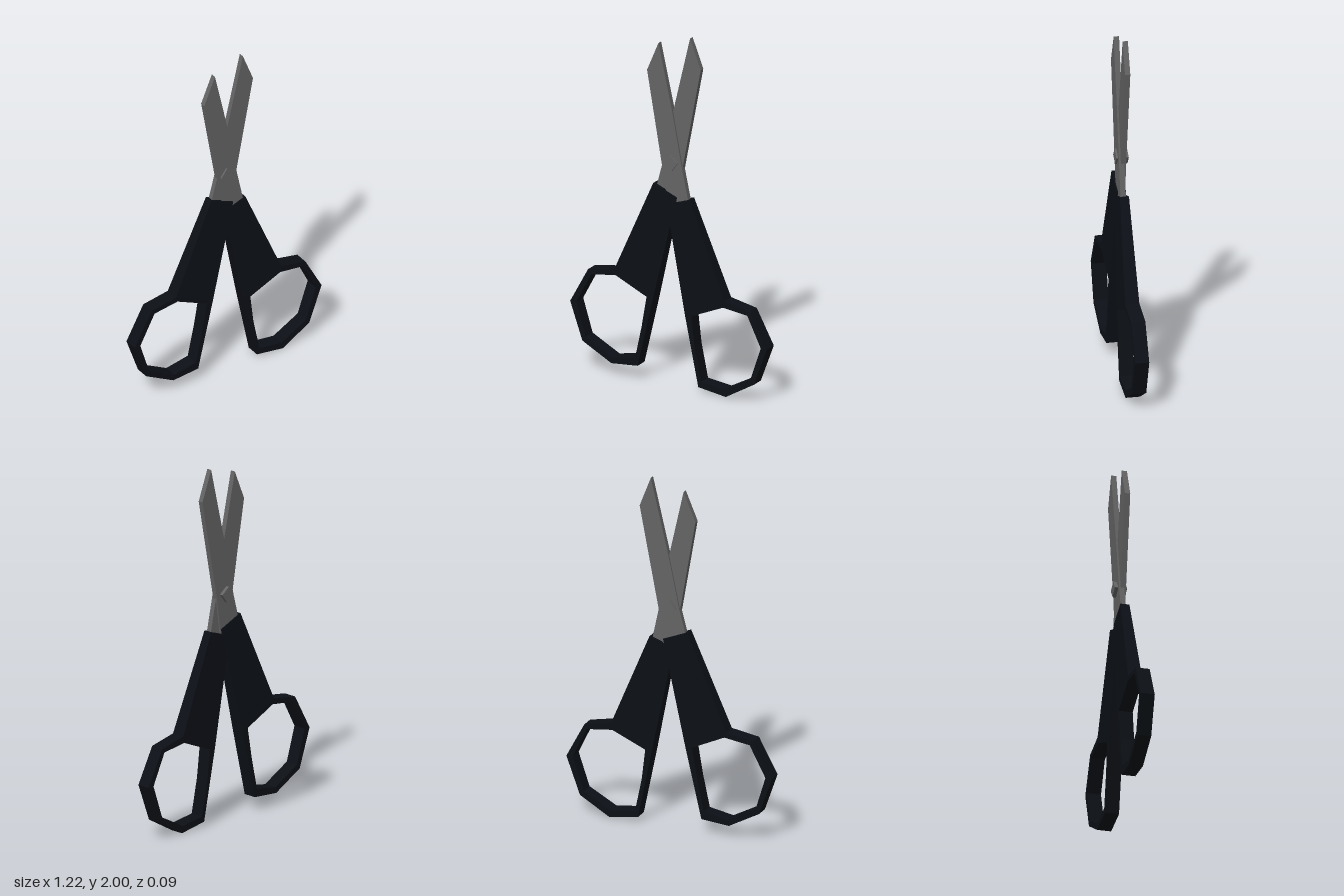
import * as THREE from 'three';

const steel = new THREE.MeshStandardMaterial({ color: 0x646464, flatShading: true });
const plastic = new THREE.MeshStandardMaterial({ color: 0x0c1016, flatShading: true });

const toPoints = (list) => list.map(([x, y]) => new THREE.Vector2(x, y));

// Flat plate cut from an outline (with optional hole), spanning zBack..zFront
function plate(name, material, outline, hole, zBack, zFront) {
  const shape = new THREE.Shape(toPoints(outline));
  if (hole) shape.holes.push(new THREE.Path(toPoints(hole)));
  const geometry = new THREE.ExtrudeGeometry(shape, { depth: zFront - zBack, bevelEnabled: false });
  geometry.translate(0, 0, zBack);
  const mesh = new THREE.Mesh(geometry, material);
  mesh.name = name;
  return mesh;
}

// Handle: a plate that thins toward the blade
function handle(name, outline, hole, zBack, zFront) {
  const mesh = plate(name, plastic, outline, hole, zBack, zFront);
  const pos = mesh.geometry.attributes.position;
  for (let i = 0; i < pos.count; i++) {
    const t = THREE.MathUtils.clamp((pos.getY(i) - 0.62) / 0.42, 0, 1);
    const thin = pos.getZ(i) > 0 ? 0.024 : -0.026;
    pos.setZ(i, THREE.MathUtils.lerp(pos.getZ(i), thin, t));
  }
  mesh.geometry.computeVertexNormals();
  return mesh;
}

export function createModel() {
  const model = new THREE.Group();
  model.name = 'scissors';

  // Front half: blade leaning to -x, handle on +x
  const frontHalf = new THREE.Group();
  frontHalf.name = 'frontHalf';
  frontHalf.add(
    plate('frontBlade', steel, [
      [-0.075, 1.945], [-0.145, 1.78], [-0.055, 1.26], [-0.01, 1.0],
      [0.115, 1.04], [0.07, 1.25], [0.01, 1.565],
    ], null, -0.012, 0.018),
    handle('leftHandle', [
      [-0.022, 1.033], [0.10, 0.43], [0.183, 0.027], [0.352, 0], [0.525, 0.10],
      [0.605, 0.315], [0.50, 0.512], [0.342, 0.546], [0.12, 1.082],
    ], [
      [0.14, 0.425], [0.335, 0.508], [0.485, 0.488], [0.568, 0.315],
      [0.503, 0.125], [0.345, 0.04], [0.20, 0.06], [0.16, 0.255],
    ], -0.037, 0.041),
  );

  // Back half: blade leaning to +x, handle on -x
  const backHalf = new THREE.Group();
  backHalf.name = 'backHalf';
  backHalf.add(
    plate('backBlade', steel, [
      [0.114, 2.0], [0.01, 1.565], [-0.055, 1.26], [-0.10, 1.09],
      [0.04, 1.04], [0.07, 1.26], [0.18, 1.83],
    ], null, -0.021, 0.008),
    handle('rightHandle', [
      [-0.104, 1.14], [-0.34, 0.605], [-0.50, 0.58], [-0.61, 0.38], [-0.535, 0.165],
      [-0.357, 0.067], [-0.195, 0.08], [-0.10, 0.485], [0.04, 1.08],
    ], [
      [-0.33, 0.575], [-0.14, 0.485], [-0.17, 0.31], [-0.21, 0.125],
      [-0.35, 0.10], [-0.515, 0.19], [-0.573, 0.38], [-0.48, 0.555],
    ], -0.045, 0.033),
  );

  // Square pivot pin through both blades
  const pivot = new THREE.Mesh(new THREE.CylinderGeometry(0.044, 0.044, 0.068, 4).rotateX(Math.PI / 2), steel);
  pivot.name = 'pivotPin';
  pivot.position.set(0.004, 1.272, -0.006);
  pivot.rotation.z = 0.15;

  model.add(frontHalf, backHalf, pivot);
  return model;
}
